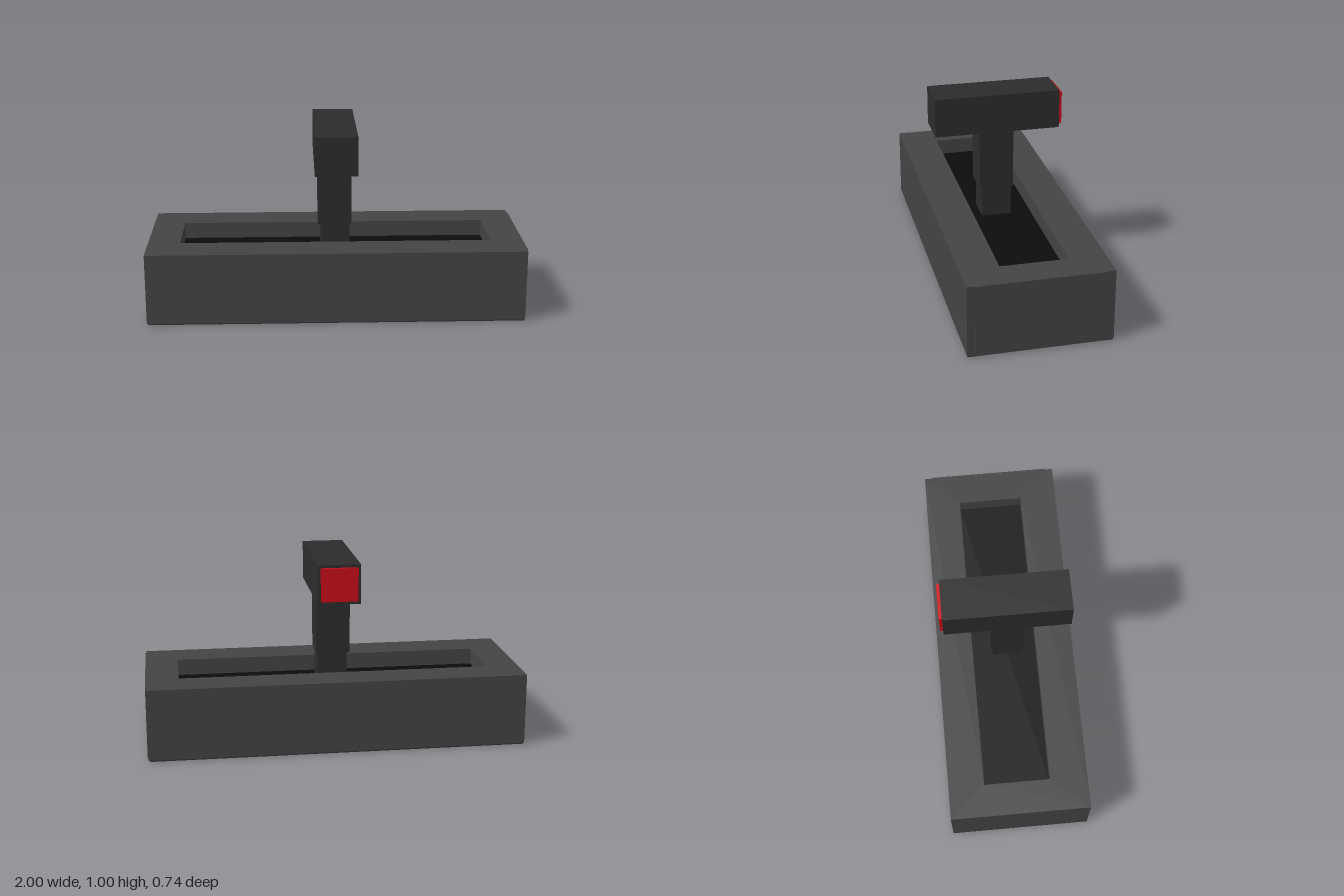
import * as THREE from 'three';

const material = (color) => new THREE.MeshStandardMaterial({ color, flatShading: true });

// Box given by its low and high limits on each axis
function box(name, mat, [x0, x1], [y0, y1], [z0, z1]) {
  const mesh = new THREE.Mesh(new THREE.BoxGeometry(x1 - x0, y1 - y0, z1 - z0), mat);
  mesh.position.set((x0 + x1) / 2, (y0 + y1) / 2, (z0 + z1) / 2);
  mesh.name = name;
  return mesh;
}

// Adds a rectangular outline to a shape or path
function rect(path, x0, x1, y0, y1) {
  path.moveTo(x0, y0).lineTo(x1, y0).lineTo(x1, y1).lineTo(x0, y1).closePath();
  return path;
}

export function createModel() {
  const group = new THREE.Group();
  const housingMat = material(0x444444);
  const plateMat = material(0x333333);
  const leverMat = material(0x2c2c2c);
  const slotMat = material(0x0c0c0c);
  const redMat = material(0xcc0f18);

  // Housing block with a long slot through its top
  const outline = rect(new THREE.Shape(), -1, 0.995, -0.37, 0.37);
  outline.holes.push(rect(new THREE.Path(), -0.83, 0.825, -0.17, 0.18));
  const housingGeo = new THREE.ExtrudeGeometry(outline, { depth: 0.379, bevelEnabled: false });
  housingGeo.rotateX(-Math.PI / 2);
  const housing = new THREE.Mesh(housingGeo, housingMat);
  housing.position.y = 0.008;
  housing.name = 'housing';
  group.add(housing);

  group.add(
    // Underside, end cover and dark slot floor
    box('basePlate', plateMat, [-0.995, 0.99], [0, 0.008], [-0.365, 0.365]),
    box('endCover', housingMat, [0.995, 1], [0.008, 0.387], [-0.33, 0.33]),
    box('slotFloor', slotMat, [-0.83, 0.825], [0.008, 0.3], [-0.18, 0.17]),
    // Stepped lever with its crosswise grip
    box('lowerStem', leverMat, [-0.08, 0.075], [0.3, 0.465], [-0.07, 0.09]),
    box('upperStem', leverMat, [-0.095, 0.085], [0.465, 0.793], [-0.08, 0.103]),
    box('grip', leverMat, [-0.115, 0.107], [0.793, 1], [-0.323, 0.343]),
    // Red button on the back end of the grip
    box('button', redMat, [-0.1, 0.093], [0.81, 0.985], [-0.34, -0.323]),
  );
  return group;
}
